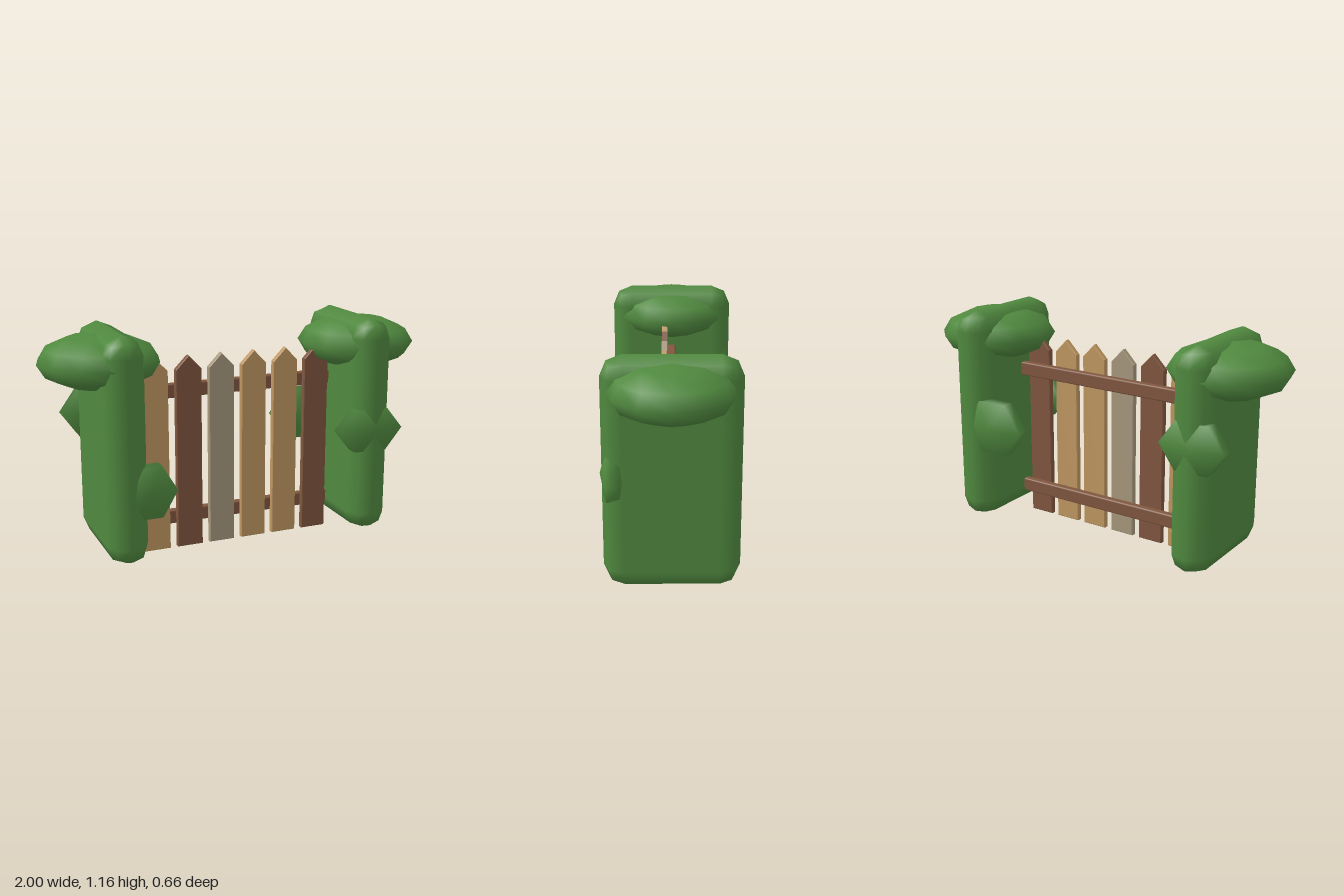
import * as THREE from 'three';
import { RoundedBoxGeometry } from 'three/addons/geometries/RoundedBoxGeometry.js';

const material = (name, color) => {
  const m = new THREE.MeshStandardMaterial({ color });
  m.name = name;
  return m;
};

function add(parent, name, geometry, mat, x, y, z) {
  const mesh = new THREE.Mesh(geometry, mat);
  mesh.name = name;
  mesh.position.set(x, y, z);
  parent.add(mesh);
  return mesh;
}

// Pointed board with slightly eased edges
function picketGeometry(width, shoulder, peak, depth) {
  const b = 0.004, w = width / 2 - b;
  const shape = new THREE.Shape();
  shape.moveTo(-w, b);
  shape.lineTo(w, b);
  shape.lineTo(w, shoulder);
  shape.lineTo(0, peak - b);
  shape.lineTo(-w, shoulder);
  shape.closePath();
  return new THREE.ExtrudeGeometry(shape, {
    depth: depth - 2 * b, bevelEnabled: true, bevelSize: b, bevelThickness: b, bevelSegments: 1,
  }).translate(0, 0, b);
}

export function createModel() {
  const model = new THREE.Group();
  model.name = 'fenceWithHedges';
  const leaf = material('leaf green', 0x50893f);
  const tan = material('tan wood', 0xc09862);
  const brown = material('brown wood', 0x80573f);
  const grey = material('weathered wood', 0xa8987d);

  // Fence: six pickets on two rails
  const fence = new THREE.Group();
  fence.name = 'fence';
  model.add(fence);
  const picket = picketGeometry(0.136, 0.93, 1.0, 0.031);
  [tan, brown, grey, tan, tan, brown].forEach((mat, i) =>
    add(fence, 'picket', picket, mat, -0.433 + i * 0.176, 0, 0.021));
  const rail = new RoundedBoxGeometry(1.06, 0.072, 0.042, 1, 0.008);
  for (const y of [0.155, 0.82]) add(fence, 'rail', rail, brown, 0.01, y, 0);

  // Hedges: rounded slab, flattened crown and leafy clumps
  const slab = new RoundedBoxGeometry(0.21, 1.125, 0.642, 1, 0.1);
  const crown = new THREE.SphereGeometry(1, 12, 6).scale(0.302, 0.133, 0.302);
  const clump = new THREE.SphereGeometry(1, 6, 3).rotateX(Math.PI / 2);
  clump.scale(1 / 0.866, 1 / 0.866, 1);
  const hedges = [
    { name: 'rightHedge', x: -0.645, crownX: -0.698, clumps: [
      [-0.56, 0.4, 0.263, 0.155, 0.15], [-0.662, 0.685, -0.266, 0.173, 0.14]] },
    { name: 'leftHedge', x: 0.66, crownX: 0.698, clumps: [
      [0.645, 0.585, 0.267, 0.18, 0.127], [0.53, 0.56, -0.266, 0.19, 0.16]] },
  ];
  for (const h of hedges) {
    const hedge = new THREE.Group();
    hedge.name = h.name;
    model.add(hedge);
    add(hedge, 'hedgeBody', slab, leaf, h.x, 0.593, 0);
    add(hedge, 'hedgeCrown', crown, leaf, h.crownX, 1.002, 0);
    for (const [x, y, z, rx, ry] of h.clumps)
      add(hedge, 'leafClump', clump, leaf, x, y, z).scale.set(rx, ry, 0.064);
  }
  return model;
}
